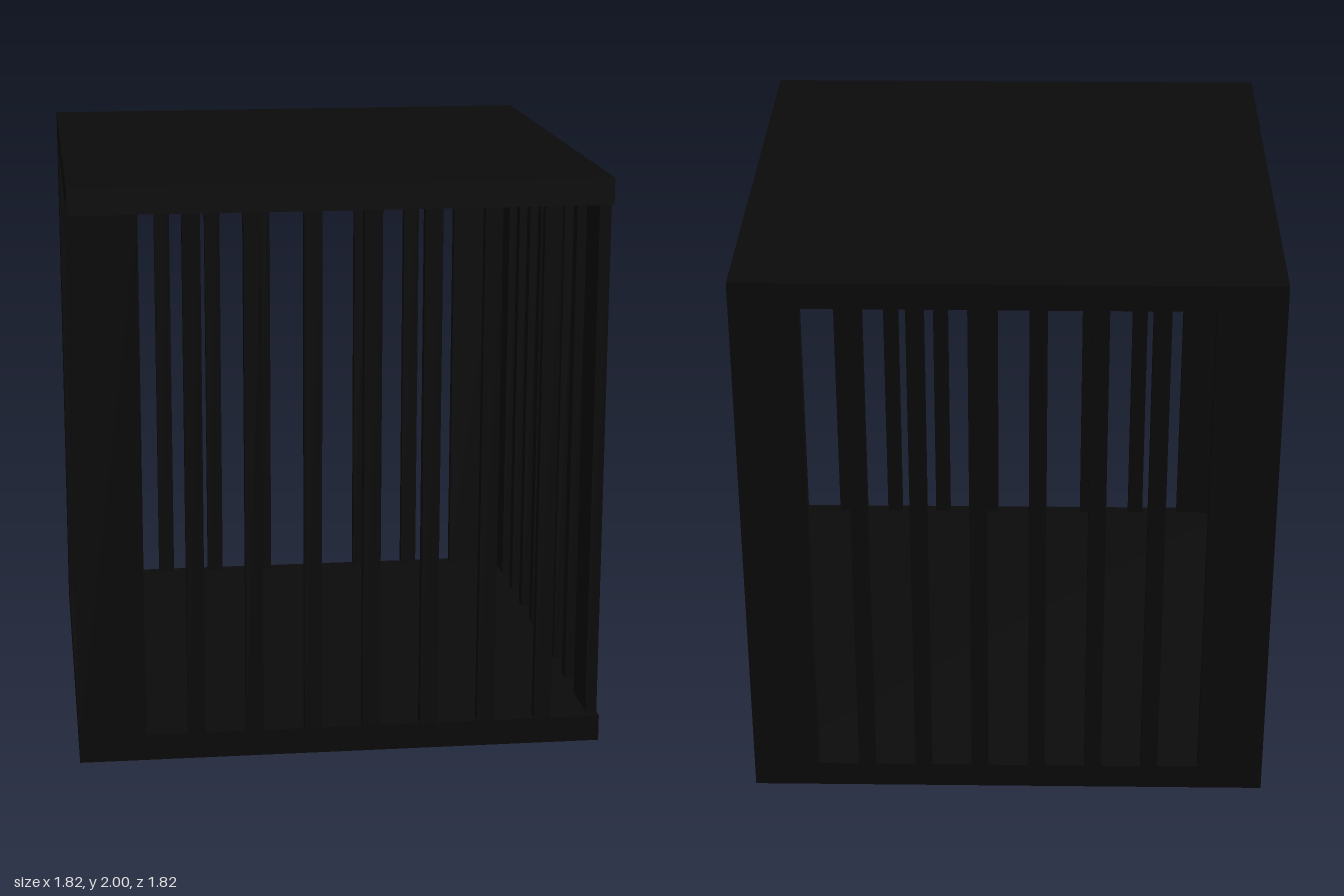
import * as THREE from 'three';

const HALF = 0.91;    // half width of the cage
const SLAB = 0.092;   // floor and roof thickness
const T = 0.04;       // wall thickness
const PANEL = 0.23;   // width of a corner panel
const BAR = 0.06;     // bar width
const STEP = 0.202;   // bar spacing
const WALL_H = 2 - 2 * SLAB;

export function createModel() {
  const cage = new THREE.Group();
  cage.name = 'cage';
  const black = new THREE.MeshStandardMaterial({ color: 0x0b0b0b });

  const box = (parent, name, w, h, d, x, y, z) => {
    const mesh = new THREE.Mesh(new THREE.BoxGeometry(w, h, d), black);
    mesh.name = name;
    mesh.position.set(x, y, z);
    parent.add(mesh);
  };

  // Solid floor and roof
  box(cage, 'floor', 2 * HALF, SLAB, 2 * HALF, 0, SLAB / 2, 0);
  box(cage, 'roof', 2 * HALF, SLAB, 2 * HALF, 0, 2 - SLAB / 2, 0);

  // Corner posts: an L of two thin panels; the front left and front right ones have one leg only
  const wall = HALF - T / 2;
  const panelAt = HALF - PANEL / 2;
  const legW = PANEL - T;
  const legAt = HALF - T - legW / 2;
  for (const sx of [-1, 1]) {
    for (const sz of [-1, 1]) {
      const post = new THREE.Group();
      post.name = 'cornerPost';
      if (!(sx > 0 && sz > 0)) box(post, 'postFace', PANEL, WALL_H, T, sx * panelAt, 1, sz * wall);
      if (!(sx < 0 && sz > 0)) box(post, 'postSide', T, WALL_H, legW, sx * wall, 1, sz * legAt);
      cage.add(post);
    }
  }

  // Six upright bars on three walls; the -x side is the open doorway
  const bars = new THREE.Group();
  bars.name = 'bars';
  for (let i = 0; i < 6; i++) {
    const p = (i - 2.5) * STEP;
    box(bars, 'frontBar', BAR, WALL_H, T, p, 1, wall);
    box(bars, 'backBar', BAR, WALL_H, T, p, 1, -wall);
    box(bars, 'sideBar', T, WALL_H, BAR, wall, 1, p);
  }
  // Extra bar beside the narrow corner gap
  box(bars, 'frontBar', BAR, WALL_H, T, 3.5 * STEP, 1, wall);
  cage.add(bars);

  return cage;
}
